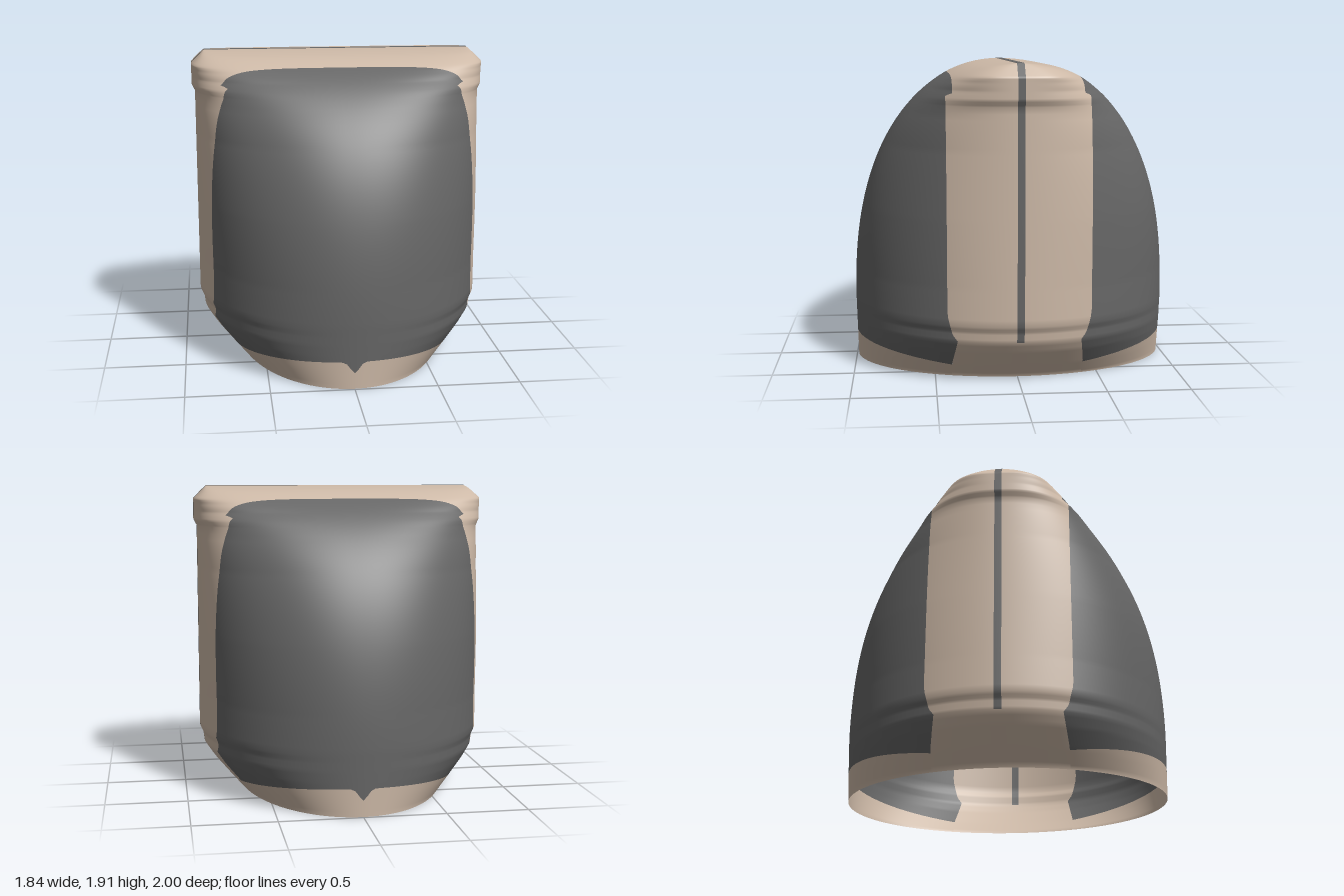
import * as THREE from 'three';

const DEPTH_END = 1.91, SEAM = 0.022;

// Piecewise-linear lookup over [y, value] pairs
function lerpTable(table, y) {
  if (y <= table[0][0]) return table[0][1];
  for (let i = 1; i < table.length; i++) {
    const [y0, a] = table[i - 1], [y1, b] = table[i];
    if (y <= y1) return a + (b - a) * (y - y0) / (y1 - y0);
  }
  return table[table.length - 1][1];
}

// Horizontal sections are superellipses: half width, half depth, exponent
const WIDTH = [[0, 0.65], [0.1, 0.74], [0.2, 0.825], [0.27, 0.872], [0.33, 0.88], [0.37, 0.9],
  [1.66, 0.9], [1.70, 0.92], [1.83, 0.92], [1.91, 0.84]];
const POWER = [[0, 2], [0.6, 2], [1, 2.1], [1.4, 2.15], [1.6, 2.3], [1.75, 2.6], [1.8, 3], [1.87, 4], [1.91, 5]];
const BAND = [[0, 0.4], [0.1, 0.4], [0.27, 0.37], [0.31, 0.4], [0.43, 0.43], [1.72, 0.43], [1.735, 0.39]];
const halfWidth = y => lerpTable(WIDTH, y);
const power = y => lerpTable(POWER, y);
function halfDepth(y) {
  if (y < 0.4) return 0.99 + 0.01 * y / 0.4;
  const t = Math.min(1, (y - 0.4) / (DEPTH_END - 0.4));
  return Math.pow(1 - Math.pow(t, 2.3), 1 / 2.3);
}
const heightAtDepth = z => 0.4 + (DEPTH_END - 0.4) * Math.pow(1 - Math.pow(z, 2.3), 1 / 2.3);
const PANEL_TOP = heightAtDepth(0.39), TOP = heightAtDepth(SEAM);

// Section angle at which the surface reaches depth z
const angleAt = (y, z) => Math.asin(Math.pow(Math.min(1, z / halfDepth(y)), power(y) / 2));
const seamAngle = y => angleAt(y, SEAM);
const bandAngle = y => (y >= PANEL_TOP - 1e-6 ? Math.PI / 2 : angleAt(y, lerpTable(BAND, y)));

function surfacePoint(y, angle) {
  const e = 2 / power(y);
  return [halfWidth(y) * Math.pow(Math.max(0, Math.cos(angle)), e), y,
    halfDepth(y) * Math.pow(Math.max(0, Math.sin(angle)), e)];
}

// Normal from the gradient of the section equation
function surfaceNormal(x, y, z) {
  const f = (a, b, c) => Math.pow(a / halfWidth(b), power(b)) + Math.pow(c / halfDepth(b), power(b));
  const n = power(y), X = halfWidth(y), Z = halfDepth(y);
  const d = Math.min(0.008, (DEPTH_END - y) * 0.4);
  const gx = n / X * Math.pow(x / X, n - 1), gz = n / Z * Math.pow(z / Z, n - 1);
  const gy = (f(x, y + d, z) - f(x, y - d, z)) / (2 * d);
  return new THREE.Vector3(gx, gy, gz).normalize();
}

// Evenly spaced rows, or rows crowding towards the end
function rows(from, to, count, ease = false) {
  return Array.from({ length: count + 1 }, (_, i) => {
    const v = i / count;
    return from + (to - from) * (ease ? 1 - (1 - v) ** 2 : v);
  });
}

// Patch of the shell; heightAt(j, u) gives the row height, start/end bound the angle
function patch(columns, rowCount, heightAt, start, end, sx, sz) {
  const pos = [], nor = [], index = [], w = columns + 1;
  for (let j = 0; j < rowCount; j++) {
    for (let i = 0; i <= columns; i++) {
      const u = i / columns, y = heightAt(j, u);
      const a = start(y), p = surfacePoint(y, a + (end(y) - a) * u);
      const n = surfaceNormal(...p);
      pos.push(p[0] * sx, p[1], p[2] * sz);
      nor.push(n.x * sx, n.y, n.z * sz);
      if (i < columns && j < rowCount - 1) {
        const k = j * w + i;
        if (sx * sz > 0) index.push(k, k + w, k + 1, k + 1, k + w, k + w + 1);
        else index.push(k, k + 1, k + w, k + 1, k + w + 1, k + w);
      }
    }
  }
  const g = new THREE.BufferGeometry();
  g.setAttribute('position', new THREE.Float32BufferAttribute(pos, 3));
  g.setAttribute('normal', new THREE.Float32BufferAttribute(nor, 3));
  g.setIndex(index);
  return g;
}

export function createModel() {
  const model = new THREE.Group();
  model.name = 'domedCover';
  const tan = new THREE.MeshStandardMaterial({ color: 0xcdb9a7, side: THREE.DoubleSide });
  tan.name = 'tanFabric';
  const gray = new THREE.MeshStandardMaterial({ color: 0x666666, side: THREE.DoubleSide });
  gray.name = 'grayFabric';

  const lowRows = [...rows(0, 0.27, 10), ...rows(0.27, 0.37, 6).slice(1)];
  const highRows = [...rows(0.37, 1.66, 32), ...rows(1.66, 1.7, 4).slice(1),
    ...rows(1.7, 1.735, 4).slice(1), ...rows(1.735, PANEL_TOP, 18, true).slice(1)];
  const ridgeRows = rows(PANEL_TOP, TOP, 20, true).slice(1);
  const allRows = [...lowRows, ...highRows.slice(1), ...ridgeRows];
  const seamRows = allRows.filter(y => y >= 0.26);
  const hemRows = allRows.filter(y => y <= 0.2701);
  const panelRows = [...rows(0.27, 0.37, 6).slice(1), ...highRows.slice(1)];

  // Lower panel edge: rises towards the middle, with a small notch there
  const panelBottom = u => {
    const s = Math.sin(0.41 + (Math.PI / 2 - 0.41) * u);
    return 0.09 + 0.08 * (s - 0.4) / 0.6 - 0.07 * Math.exp(-(((1 - u) / 0.04) ** 2));
  };
  const LOW = 8;
  const panelHeight = (j, u) => {
    if (j > LOW) return panelRows[j - LOW - 1];
    const b = panelBottom(u);
    return b + (0.27 - b) * j / LOW;
  };
  const zero = () => 0, front = () => Math.PI / 2;

  const add = (name, geometry, material) => {
    const mesh = new THREE.Mesh(geometry, material);
    mesh.name = name;
    model.add(mesh);
  };

  // Four mirrored quarters
  for (const sz of [1, -1]) {
    for (const sx of [1, -1]) {
      const tag = (sz > 0 ? 'front' : 'back') + (sx > 0 ? 'Left' : 'Right');
      add(tag + 'Panel', patch(40, LOW + 1 + panelRows.length, panelHeight, bandAngle, front, sx, sz), gray);
      add(tag + 'Hem', patch(40, 6, (j, u) => panelBottom(u) * j / 5, bandAngle, front, sx, sz), tan);
      add(tag + 'Band', patch(28, allRows.length, j => allRows[j], seamAngle, bandAngle, sx, sz), tan);
      add(tag + 'Seam', patch(2, seamRows.length, j => seamRows[j], zero, seamAngle, sx, sz), gray);
      add(tag + 'SeamFoot', patch(2, hemRows.length, j => hemRows[j], zero, seamAngle, sx, sz), tan);
    }
  }

  // Seam strip along the top ridge
  const ridge = new THREE.BoxGeometry(1.68, 0.004, SEAM * 2);
  ridge.translate(0, 1.909, 0);
  add('ridgeSeam', ridge, gray);
  return model;
}
